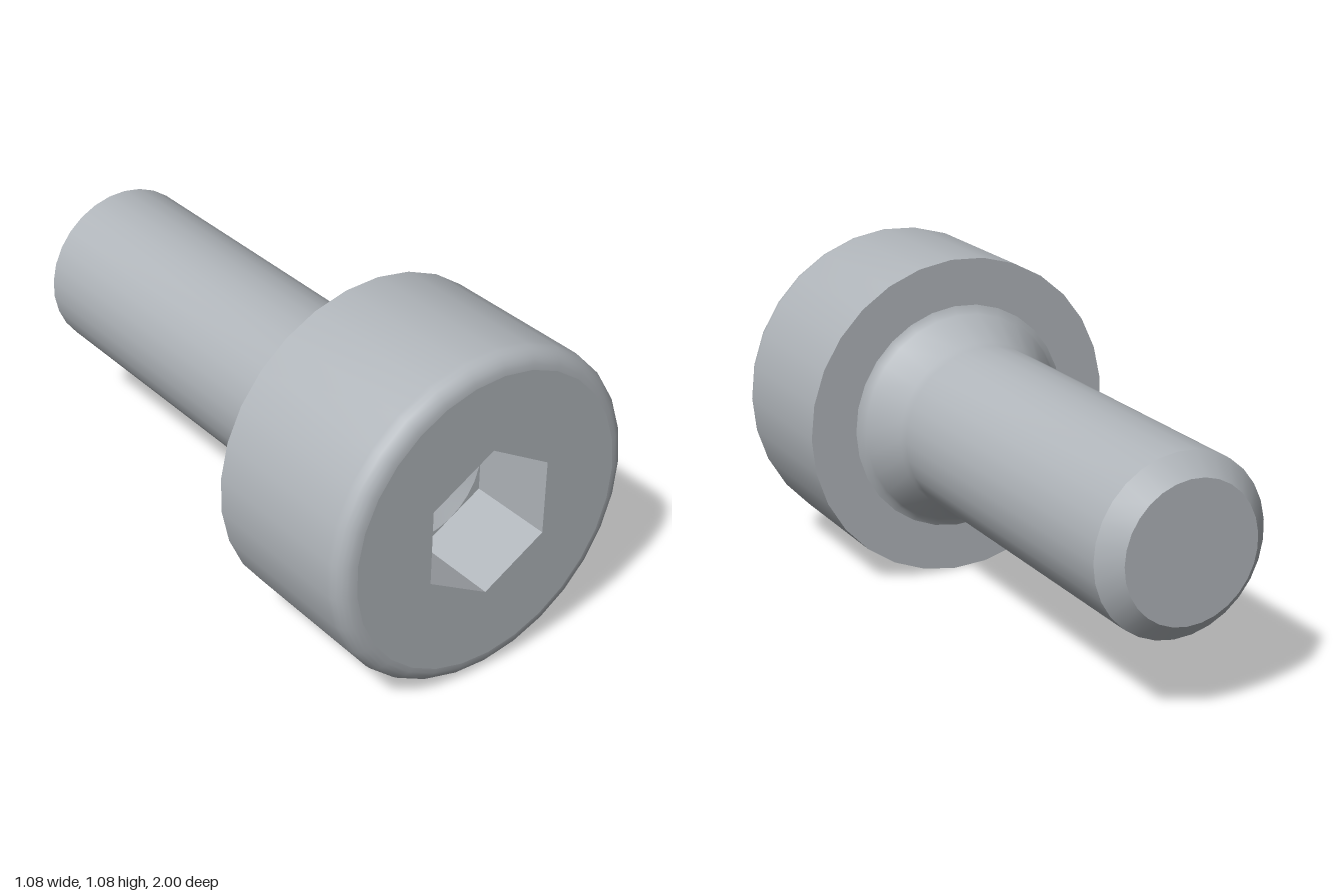
import * as THREE from 'three';
import { toCreasedNormals } from 'three/addons/utils/BufferGeometryUtils.js';

const SIDES = 29, AXIS_Y = 0.543;
const HEAD_R = 0.543, FILLET = 0.06;
const HEX_R = 0.247, HEX_FLAT = 0.214, SOCKET_Z = 0.715;

const steel = new THREE.MeshStandardMaterial({ color: 0xb0b5ba });
steel.name = 'steel';

// Revolve [radius, z] pairs about the z axis
function revolve(profile, sides = SIDES, start = Math.PI / 2) {
  const pts = profile.map(([r, z]) => new THREE.Vector2(r, z));
  const geo = new THREE.LatheGeometry(pts, sides, start).rotateX(Math.PI / 2);
  return toCreasedNormals(geo, 0.56);
}

// Corner points of a regular polygon
function polygon(radius, sides, start = 0) {
  return Array.from({ length: sides }, (_, i) => {
    const a = start + (i / sides) * Math.PI * 2;
    return new THREE.Vector2(radius * Math.cos(a), radius * Math.sin(a));
  });
}

// Flat face looking along +z with a polygonal hole
function plate(outer, hole, z) {
  const shape = new THREE.Shape(outer);
  shape.holes.push(new THREE.Path(hole));
  return new THREE.ShapeGeometry(shape).translate(0, 0, z);
}

export function createModel() {
  const group = new THREE.Group();
  group.name = 'socketHeadScrew';
  const add = (name, geo) => {
    const mesh = new THREE.Mesh(geo, steel);
    mesh.name = name;
    mesh.position.y = AXIS_Y;
    group.add(mesh);
  };

  // Shank with chamfered tip and flared neck under the head
  add('shank', revolve([
    [0, -1], [0.222, -1], [0.285, -0.937], [0.285, 0.26], [0.291, 0.293],
    [0.358, 0.41], [0.367, 0.421], [0.385, 0.43],
  ]));

  // Head: underside, wall and rounded front rim
  const head = [[0.38, 0.43], [HEAD_R, 0.43]];
  for (let i = 0; i <= 6; i++) {
    const a = (i / 6) * Math.PI / 2;
    head.push([HEAD_R - FILLET + FILLET * Math.cos(a), 1 - FILLET + FILLET * Math.sin(a)]);
  }
  add('head', revolve(head));

  // Front face and hexagonal socket with a conical drill point
  const hex = polygon(HEX_R, 6, Math.PI / 2);
  add('headFace', plate(polygon(HEAD_R - FILLET, SIDES), hex, 1));
  add('socketWalls', revolve([[HEX_R, 1], [HEX_R, SOCKET_Z]], 6, 0));
  add('socketFloor', plate(hex, polygon(HEX_FLAT, SIDES), SOCKET_Z));
  add('drillPoint', revolve([[HEX_FLAT, SOCKET_Z], [0, SOCKET_Z - 0.124]]));

  return group;
}
